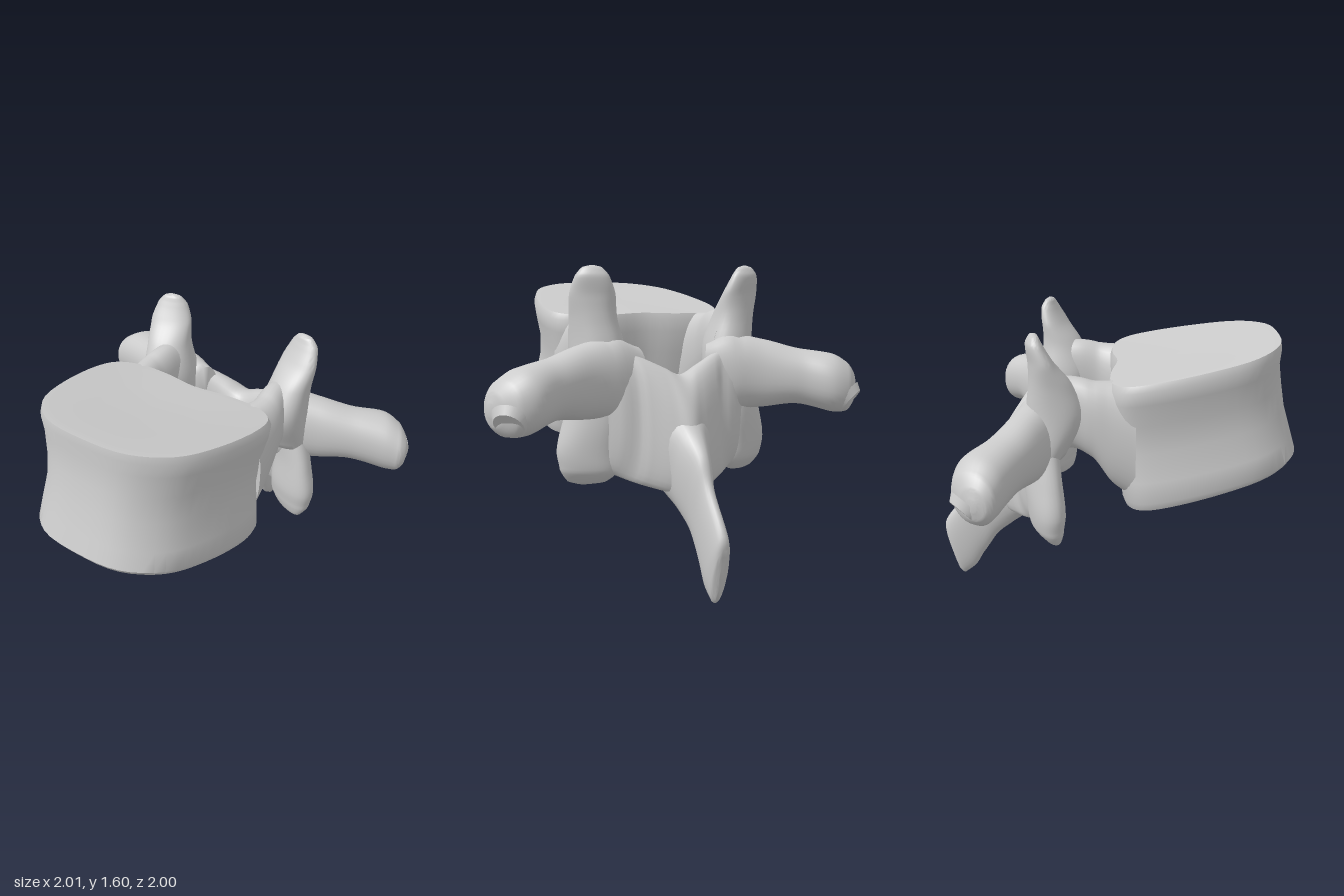
import * as THREE from 'three';
import { toCreasedNormals } from 'three/addons/utils/BufferGeometryUtils.js';

const V = (a) => new THREE.Vector3(...a);
const material = new THREE.MeshStandardMaterial({ color: 0xcccccc });

// Closed skin over a list of rings, with a centre point closing each end.
function skin(rings, crease) {
  const n = rings[0].length, pos = [], idx = [];
  rings.forEach((ring) => ring.forEach((p) => pos.push(p.x, p.y, p.z)));
  for (let i = 0; i < rings.length - 1; i++) {
    for (let j = 0; j < n; j++) {
      const k = (j + 1) % n, a = i * n + j, b = i * n + k;
      idx.push(a, b, b + n, a, b + n, a + n);
    }
  }
  [rings[0], rings[rings.length - 1]].forEach((ring, end) => {
    const mid = ring.reduce((s, p) => s.add(p), V([0, 0, 0])).divideScalar(n);
    const m = pos.length / 3, base = end ? (rings.length - 1) * n : 0;
    pos.push(mid.x, mid.y, mid.z);
    for (let j = 0; j < n; j++) {
      const a = base + j, b = base + (j + 1) % n;
      if (end) idx.push(m, a, b); else idx.push(m, b, a);
    }
  });
  const g = new THREE.BufferGeometry();
  g.setAttribute('position', new THREE.Float32BufferAttribute(pos, 3));
  g.setIndex(idx);
  return toCreasedNormals(g, crease);
}

// Smooth loft through sections [centre, half axis u, half axis v].
// side = -1 mirrors it.
function loft(sections, side = 1) {
  const n = 32, curve = (k) => new THREE.CatmullRomCurve3(
    sections.map((s) => V(s[k]).multiply(V([side, 1, 1]))));
  const [c, u, v] = [curve(0), curve(1), curve(2)];
  const along = c.getPoint(1).sub(c.getPoint(0));
  const flip = u.getPoint(0).cross(v.getPoint(0)).dot(along) < 0 ? -1 : 1;
  const bend = (x) => Math.sign(x) * Math.abs(x) ** 0.9;
  const steps = (sections.length - 1) * 6, rings = [];
  for (let i = 0; i <= steps; i++) {
    const t = i / steps, C = c.getPoint(t), U = u.getPoint(t), W = v.getPoint(t);
    rings.push(Array.from({ length: n }, (_, j) => {
      const a = (j / n) * Math.PI * 2;
      return C.clone().addScaledVector(U, bend(Math.cos(a)))
        .addScaledVector(W, flip * bend(Math.sin(a)));
    }));
  }
  return skin(rings, 1.2);
}

// Drum-shaped body: one plan outline, rescaled and tilted at each level.
function bodyGeometry() {
  const half = [[0.24, 0.855], [0.41, 0.72], [0.495, 0.5], [0.53, 0.2],
    [0.5, 0.07], [0.4, 0.0], [0.2, -0.01]];
  const plan = [[0, 0.885], ...half, [0, 0.02],
    ...half.map(([x, z]) => [-x, z]).reverse()];
  const outline = new THREE.CatmullRomCurve3(plan.map(([x, z]) => V([x, 0, z])), true);
  // width scale, back z, front z, back y, front y
  const levels = [
    [0.5, 0.32, 0.74, 0.76, 0.85],
    [0.88, 0.14, 0.92, 0.685, 0.875],
    [0.96, 0.09, 0.985, 0.665, 0.88],
    [0.99, 0.075, 1.0, 0.71, 0.905],
    [0.96, 0.06, 0.97, 0.82, 1.0],
    [0.915, 0.04, 0.925, 0.97, 1.14],
    [0.925, 0.01, 0.9, 1.12, 1.27],
    [0.98, 0.0, 0.88, 1.24, 1.39],
    [1.0, 0.0, 0.885, 1.31, 1.465],
    [0.97, 0.01, 0.88, 1.343, 1.505],
    [0.9, 0.05, 0.84, 1.35, 1.5],
    [0.5, 0.24, 0.66, 1.375, 1.455],
  ];
  const N = 64;
  const rings = levels.map(([sx, zb, zf, yb, yf]) => Array.from({ length: N }, (_, j) => {
    const p = outline.getPoint(j / N), t = p.z / 0.88;
    return V([p.x * sx, yb + (yf - yb) * t, zb + (zf - zb) * t]);
  }));
  return skin(rings, 0.8);
}

// Paired parts, given for the +x side.
const paired = {
  pedicle: [
    [[0.34, 1.02, 0.13], [0.15, 0, 0], [0, 0.32, 0]],
    [[0.355, 1.07, 0.01], [0.125, 0, 0], [0, 0.275, 0]],
    [[0.37, 1.145, -0.09], [0.1, 0, 0], [0, 0.205, 0]],
    [[0.36, 1.18, -0.2], [0.09, 0, 0], [0, 0.19, 0]],
    [[0.37, 1.14, -0.36], [0.12, 0, 0], [0, 0.21, 0]],
  ],
  superiorProcess: [
    [[0.37, 0.96, -0.33], [0.14, 0, 0], [0, 0, 0.1]],
    [[0.375, 1.18, -0.28], [0.135, 0, 0.02], [0, 0, 0.15]],
    [[0.4, 1.35, -0.3], [0.115, 0, 0.03], [-0.01, 0, 0.105]],
    [[0.415, 1.46, -0.34], [0.11, 0, 0.035], [-0.01, 0, 0.06]],
    [[0.425, 1.555, -0.37], [0.08, 0, 0.02], [0, 0, 0.04]],
    [[0.425, 1.595, -0.37], [0.045, 0, 0.01], [0, 0, 0.02]],
    [[0.425, 1.604, -0.37], [0.01, 0, 0], [0, 0, 0.005]],
  ],
  inferiorProcess: [
    [[0.4, 1.08, -0.35], [0.08, 0, 0.02], [0, 0, 0.08]],
    [[0.43, 0.85, -0.35], [0.125, 0, 0.05], [0, 0, 0.09]],
    [[0.445, 0.67, -0.335], [0.15, 0, 0.06], [-0.02, 0, 0.085]],
    [[0.44, 0.57, -0.335], [0.14, 0, 0.06], [-0.02, 0, 0.07]],
    [[0.45, 0.505, -0.315], [0.09, 0, 0.04], [-0.01, 0, 0.035]],
    [[0.46, 0.49, -0.31], [0.03, 0, 0.01], [0, 0, 0.01]],
  ],
  transverseProcess: [
    [[0.2, 1.0, -0.38], [0.04, 0, 0.07], [0, 0.2, 0]],
    [[0.38, 1.04, -0.385], [0.04, 0, 0.12], [0, 0.2, 0]],
    [[0.53, 1.035, -0.435], [0.05, 0, 0.11], [0, 0.18, 0]],
    [[0.7, 1.02, -0.515], [0.055, 0, 0.11], [0, 0.148, 0]],
    [[0.84, 0.99, -0.59], [0.065, 0, 0.125], [0, 0.155, 0]],
    [[0.93, 0.965, -0.61], [0.055, 0, 0.11], [0, 0.13, 0]],
    [[0.975, 0.96, -0.605], [0.03, 0, 0.065], [0, 0.08, 0]],
    [[0.99, 0.96, -0.605], [0.01, 0, 0.02], [0, 0.03, 0]],
  ],
};

// Arch behind the canal, from side to side, swelling towards the spine.
const archHalf = [
  [[0.1, 0.79, -0.515], [0.03, 0, 0.11], [0, 0.315, 0.05]],
  [[0.24, 0.84, -0.455], [0.04, 0, 0.09], [0, 0.325, 0.03]],
  [[0.4, 0.88, -0.375], [0.04, 0, 0.09], [0, 0.3, 0]],
  [[0.48, 0.88, -0.36], [0.02, 0, 0.04], [0, 0.16, 0]],
];
const arch = [
  ...archHalf.map(([[x, y, z], [a, b, c], v]) => [[-x, y, z], [-a, b, c], v]).reverse(),
  [[0, 0.75, -0.535], [0, 0, 0.13], [0, 0.31, 0.05]],
  ...archHalf,
];

// Spine blade: [top z, top y, bottom z, bottom y, half width]
const spine = [
  [-0.5, 0.99, -0.48, 0.5, 0.2],
  [-0.58, 0.9, -0.5, 0.43, 0.165],
  [-0.66, 0.815, -0.58, 0.365, 0.105],
  [-0.77, 0.7, -0.68, 0.28, 0.062],
  [-0.83, 0.57, -0.76, 0.165, 0.048],
  [-0.985, 0.365, -0.83, 0.055, 0.05],
  [-0.99, 0.28, -0.895, 0.003, 0.04],
  [-0.965, 0.16, -0.925, 0.02, 0.015],
].map(([tz, ty, bz, by, w]) => [
  [0, (ty + by) / 2, (tz + bz) / 2], [w, 0, 0], [0, (ty - by) / 2, (tz - bz) / 2]]);

export function createModel() {
  const group = new THREE.Group();
  group.name = 'vertebra';
  const add = (name, geometry) => {
    const mesh = new THREE.Mesh(geometry, material);
    mesh.name = name;
    group.add(mesh);
    return mesh;
  };
  add('vertebralBody', bodyGeometry());
  add('lamina', loft(arch));
  add('spinousProcess', loft(spine));
  for (const side of [1, -1]) {
    const label = side > 0 ? 'left' : 'right';
    for (const [name, sections] of Object.entries(paired)) {
      add(`${label} ${name}`, loft(sections, side));
    }
    // Small flat joint face on the lower back of the transverse tip
    const facet = add(`${label} ribFacet`, new THREE.CylinderGeometry(0.075, 0.1, 0.04, 28));
    facet.position.set(side * 0.91, 0.905, -0.655);
    facet.quaternion.setFromUnitVectors(V([0, 1, 0]), V([side * 0.5, -0.6, -0.62]).normalize());
  }
  return group;
}
